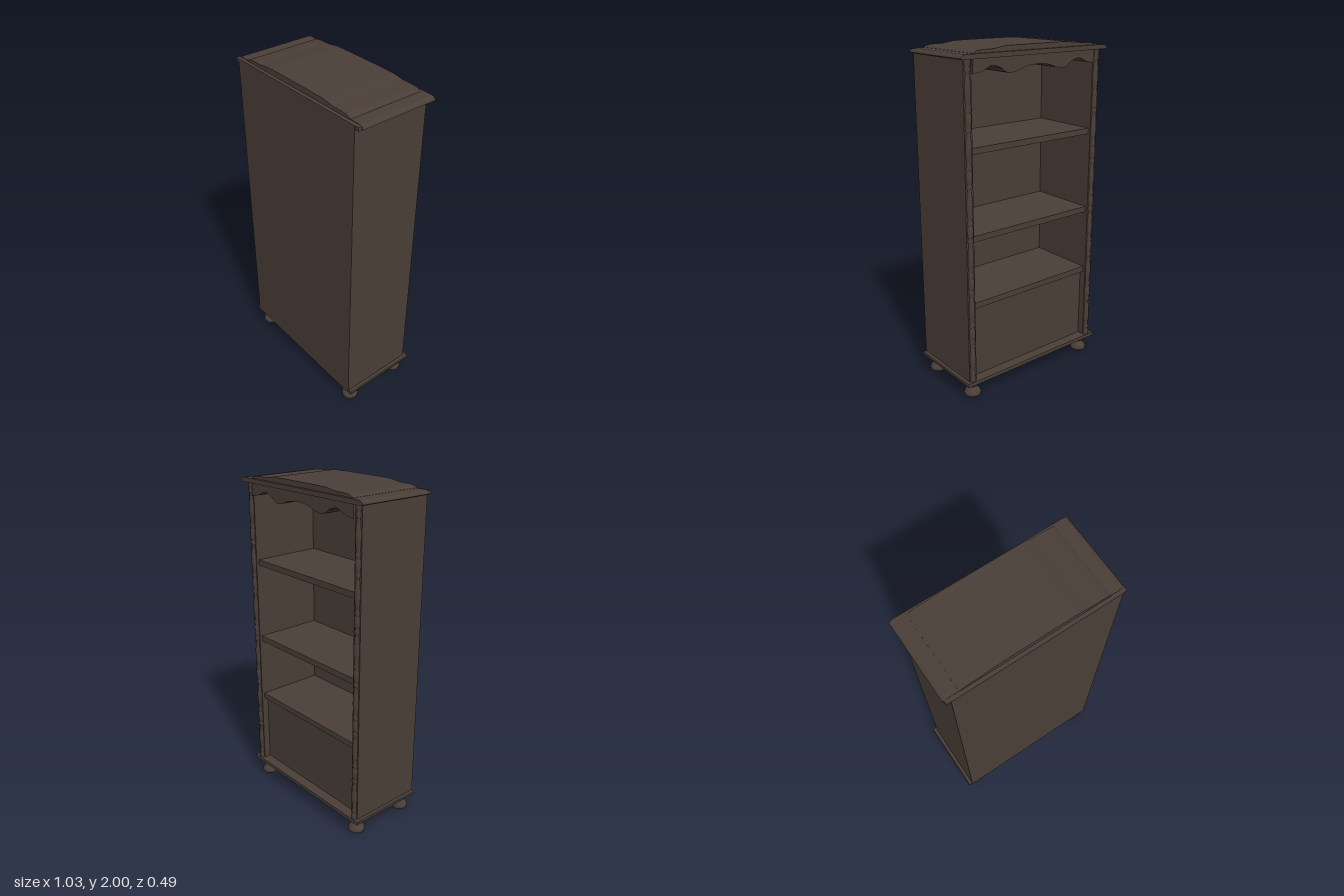
import * as THREE from 'three';

export function createModel() {
  const model = new THREE.Group();
  model.name = 'bookcase';
  const wood = new THREE.MeshStandardMaterial({ color: 0x4a3e37 });
  wood.name = 'dark wood';

  const add = (name, geometry, x = 0, y = 0, z = 0) => {
    const mesh = new THREE.Mesh(geometry, wood);
    mesh.name = name;
    mesh.position.set(x, y, z);
    model.add(mesh);
    return mesh;
  };
  // Box given by its lower and upper limits on each axis
  const box = (name, x0, x1, y0, y1, z0, z1) =>
    add(name, new THREE.BoxGeometry(x1 - x0, y1 - y0, z1 - z0),
      (x0 + x1) / 2, (y0 + y1) / 2, (z0 + z1) / 2);
  // Outline in x and y, pushed along z
  const slab = (name, points, z0, z1) => {
    const geometry = new THREE.ExtrudeGeometry(new THREE.Shape(points),
      { depth: z1 - z0, bevelEnabled: false });
    return add(name, geometry, 0, 0, z0);
  };
  const vectors = (list) => list.map(([x, y]) => new THREE.Vector2(x, y));
  // Smooth curve through half a profile, mirrored to run from -x to +x
  const mirroredCurve = (half, divisions) => {
    const full = [...half.map(([x, y]) => [-x, y]), ...half.slice(0, -1).reverse()];
    return new THREE.SplineCurve(vectors(full)).getPoints(divisions);
  };

  // Carcass: the shelves open towards -z, the plain panel closes +z
  for (const s of [-1, 1]) {
    box('sidePanel', Math.min(s * 0.43, s * 0.48), Math.max(s * 0.43, s * 0.48), 0.1, 1.95, -0.217, 0.225);
  }
  box('rearPanel', -0.48, 0.48, 0.1, 1.968, 0.223, 0.248);
  box('lowerPanel', -0.43, 0.43, 0.12, 0.57, -0.175, -0.155);
  for (const y of [0.595, 0.995, 1.485]) box('shelf', -0.43, 0.43, y - 0.035, y, -0.2, 0.223);

  // Plinth with a slightly rounded edge
  slab('plinth', vectors([[-0.498, 0.098], [0.498, 0.098], [0.505, 0.104], [0.505, 0.115],
    [0.5, 0.12], [-0.5, 0.12], [-0.505, 0.115], [-0.505, 0.104]]), -0.238, 0.246);

  // Cornice with sloping moulded ends
  const end = [[0.48, 1.945], [0.504, 1.945], [0.513, 1.951], [0.507, 1.962], [0.494, 1.969], [0.48, 1.971]];
  const cornice = [...end, ...end.map(([x, y]) => [-x, y]).reverse()];
  slab('cornice', vectors(cornice), -0.246, 0.225);
  for (const s of [-1, 1]) {
    box('corniceEnd', Math.min(s * 0.48, s * 0.505), Math.max(s * 0.48, s * 0.505), 1.948, 1.968, 0.224, 0.246);
  }

  // Crown and scalloped valance, cut from one full-depth profile
  const crown = mirroredCurve([[0.425, 1.972], [0.4, 1.983], [0.36, 1.987], [0.3, 1.988],
    [0.25, 1.995], [0.2, 1.999], [0, 2]], 48);
  const scallop = mirroredCurve([[0.43, 1.87], [0.37, 1.88], [0.31, 1.905], [0.25, 1.89],
    [0.2, 1.86], [0.14, 1.865], [0.08, 1.885], [0, 1.893]], 48);
  slab('crownAndValance', [...scallop, ...crown.reverse()], -0.229, 0.227);

  // Turned columns: one motif repeated up the height
  const motif = [[0.02, 0], [0.02, 0.03], [0.013, 0.035], [0.022, 0.05], [0.014, 0.065], [0.017, 0.09],
    [0.021, 0.13], [0.02, 0.17], [0.015, 0.215], [0.013, 0.235], [0.022, 0.25], [0.013, 0.265], [0.02, 0.27]];
  const column = [];
  const repeats = 6, pitch = (1.945 - 0.12) / repeats;
  for (let i = 0; i < repeats; i++) {
    for (const [r, y] of motif) column.push([r, 0.12 + i * pitch + y * pitch / 0.3]);
  }
  column.push([0.02, 1.945]);
  const columnGeometry = new THREE.LatheGeometry(vectors(column), 16);

  // Turned bun feet
  const foot = new THREE.LatheGeometry(vectors([[0, 0], [0.036, 0], [0.047, 0.008], [0.051, 0.02],
    [0.046, 0.033], [0.033, 0.046], [0.024, 0.055], [0.02, 0.062], [0.029, 0.066], [0.03, 0.074],
    [0.025, 0.078], [0.036, 0.082], [0.048, 0.088], [0.048, 0.1], [0, 0.1]]), 24);

  for (const s of [-1, 1]) {
    add('turnedColumn', columnGeometry, s * 0.455, 0, -0.213);
    for (const z of [-0.175, 0.19]) add('bunFoot', foot, s * 0.43, 0, z);
  }
  return model;
}
